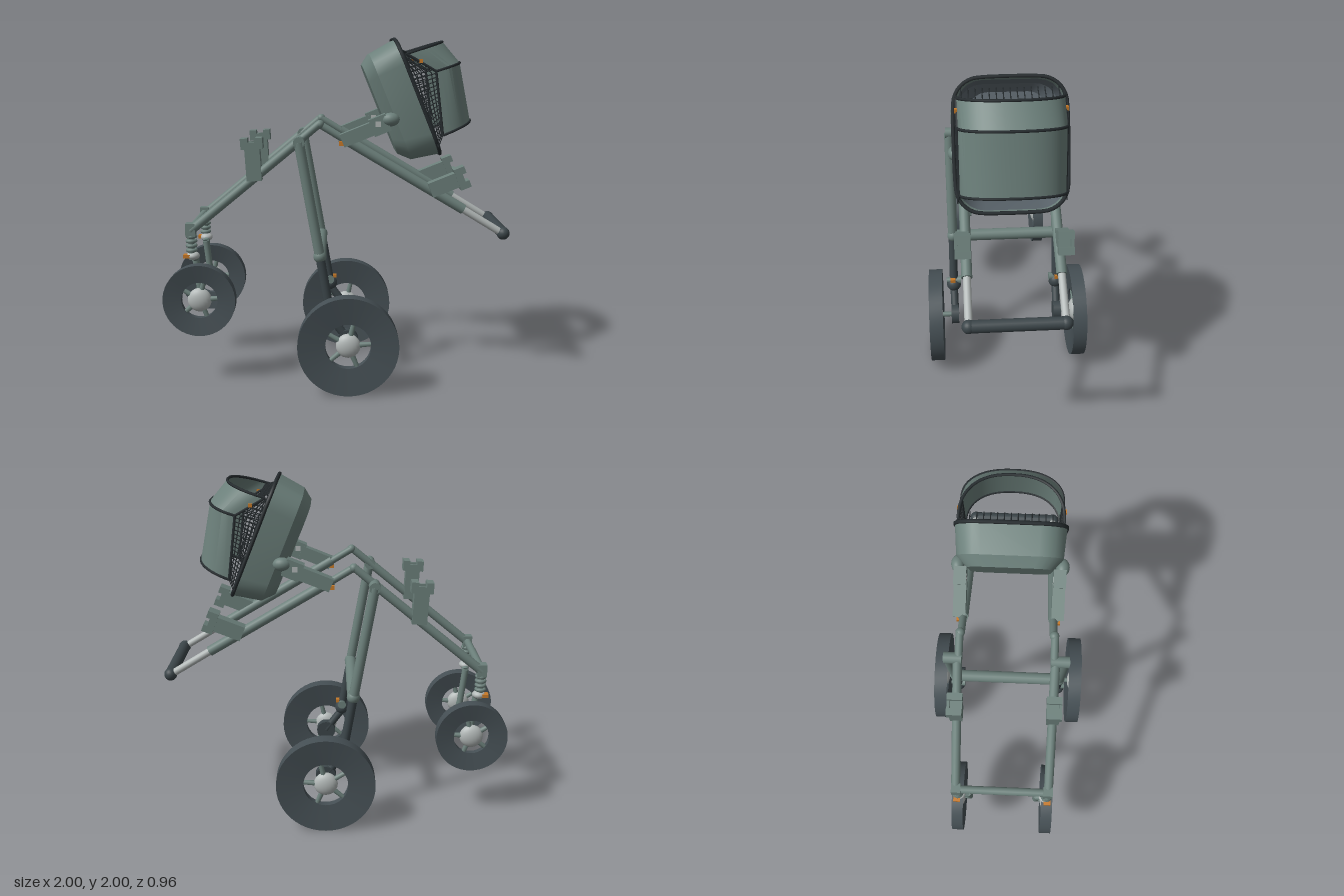
import * as THREE from 'three';
import { toCreasedNormals } from 'three/addons/utils/BufferGeometryUtils.js';

const mat = (name, color, extra = {}) => {
  const m = new THREE.MeshStandardMaterial({ color, ...extra });
  m.name = name;
  return m;
};
const V = (x, y, z) => new THREE.Vector3(x, y, z);

export function createModel() {
  const model = new THREE.Group();
  model.name = 'stroller';
  const green = mat('greyGreen', 0x6c807b);
  const shell = mat('greyGreenShell', 0x6c807b, { side: THREE.DoubleSide });
  const tyreMat = mat('tyreSlate', 0x454f54);
  const dark = mat('darkSlate', 0x3b4549);
  const trim = mat('trimBlack', 0x272d30);
  const light = mat('lightMetal', 0xb2b8b7);
  const orange = mat('orangeAccent', 0xc87a28);
  const lining = mat('lining', 0x5a646b, { side: THREE.DoubleSide });

  const add = (parent, name, geo, m, pos) => {
    const mesh = new THREE.Mesh(geo, m);
    mesh.name = name;
    if (pos) mesh.position.copy(pos);
    parent.add(mesh);
    return mesh;
  };
  // Straight tube from a to b
  const rod = (parent, name, a, b, r, m, r2 = r, sides = 18) => {
    const mesh = add(parent, name, new THREE.CylinderGeometry(r2, r, a.distanceTo(b), sides), m,
      a.clone().lerp(b, 0.5));
    mesh.quaternion.setFromUnitVectors(V(0, 1, 0), b.clone().sub(a).normalize());
    return mesh;
  };
  const ball = (parent, name, p, r, m) => add(parent, name, new THREE.SphereGeometry(r, 20, 14), m, p);
  const box = (parent, name, x, y, z, m, p) => add(parent, name, new THREE.BoxGeometry(x, y, z), m, p);

  // Surface through equally sized rings of points
  const loft = (rings, closed, cap = false) => {
    const n = rings[0].length, pts = rings.flat(), idx = [];
    for (let j = 0; j < rings.length - 1; j++)
      for (let i = 0; i < (closed ? n : n - 1); i++) {
        const a = j * n + i, b = j * n + (i + 1) % n;
        idx.push(a, a + n, b, b, a + n, b + n);
      }
    if (cap) {
      const k = (rings.length - 1) * n;
      for (let i = 1; i < n - 1; i++) idx.push(k, k + i + 1, k + i);
    }
    const g = new THREE.BufferGeometry().setFromPoints(pts);
    g.setIndex(idx);
    return toCreasedNormals(g, 0.4);
  };

  // Wheel with a dished tyre, spokes and a domed hub
  const wheel = (name, p, R, hole, w) => {
    const g = new THREE.Group();
    g.name = name;
    g.position.copy(p);
    const prof = [[hole, -w * 0.5], [R, -w], [R, w], [hole, w * 0.5], [hole, -w * 0.5]]
      .map(([r, y]) => new THREE.Vector2(r, y));
    add(g, 'tyre', toCreasedNormals(new THREE.LatheGeometry(prof, 48), 0.5), tyreMat).rotation.x = Math.PI / 2;
    ball(g, 'hub', V(0, 0, 0), 0.07, light).scale.z = 0.55;
    for (let i = 0; i < 5; i++) {
      const a = 0.08 + i * Math.PI * 0.4, c = Math.cos(a), s = Math.sin(a);
      rod(g, 'spoke', V(c * 0.05, s * 0.05, 0), V(c * (hole + 0.01), s * (hole + 0.01), 0), 0.016, green, 0.013, 8);
    }
    model.add(g);
  };

  // Square socket, growing along the direction of its tilt
  const socket = (name, p, tilt, length, width, flange) => {
    const g = new THREE.Group();
    g.name = name;
    g.position.copy(p);
    g.rotation.z = tilt;
    box(g, 'socketBody', width, length, 0.07, green, V(0, length / 2, 0));
    if (flange) {
      const s = new THREE.Shape([[-1, -1], [1, -1], [1, 1], [-1, 1]].map(([x, y]) => new THREE.Vector2(x * 0.062, y * 0.042)));
      s.holes.push(new THREE.Path([[-1, -1], [-1, 1], [1, 1], [1, -1]].map(([x, y]) => new THREE.Vector2(x * 0.038, y * 0.026))));
      const f = add(g, 'socketFlange', new THREE.ExtrudeGeometry(s, { depth: 0.04, bevelEnabled: false }), green, V(0, length, 0));
      f.rotation.x = -Math.PI / 2;
      for (const e of [-1, 1]) box(g, 'socketLug', 0.04, 0.025, 0.084, green, V(e * 0.042, length + 0.05, 0));
    }
    model.add(g);
  };

  for (const s of [1, -1]) {
    const z = (v) => s * v;
    // Wheels
    wheel('rearWheel', V(0.07, 0.29, z(0.438)), 0.287, 0.13, 0.041);
    wheel('frontWheel', V(-0.79, 0.51, z(0.268)), 0.21, 0.105, 0.034);

    // Main frame
    rod(model, 'frontTube', V(-0.83, 0.92, z(0.268)), V(-0.21, 1.43, z(0.268)), 0.026, green);
    rod(model, 'frontTubeUpper', V(-0.21, 1.43, z(0.262)), V(-0.09, 1.53, z(0.258)), 0.022, green);
    ball(model, 'apexJoint', V(-0.09, 1.525, z(0.255)), 0.026, green);
    rod(model, 'handleTubeUpper', V(-0.09, 1.525, z(0.25)), V(0.05, 1.44, z(0.25)), 0.021, green);
    rod(model, 'handleTube', V(0.03, 1.455, z(0.25)), V(0.73, 1.04, z(0.25)), 0.029, green);
    rod(model, 'handleExtension', V(0.72, 1.045, z(0.25)), V(0.95, 0.905, z(0.25)), 0.021, light);
    ball(model, 'handleCorner', V(0.962, 0.9, z(0.25)), 0.037, dark);
    box(model, 'foldButton', 0.035, 0.025, 0.045, orange, V(0.035, 1.42, z(0.265)));

    // Rear leg
    rod(model, 'legPivot', V(-0.205, 1.43, z(0.245)), V(-0.205, 1.43, z(0.345)), 0.032, green);
    rod(model, 'rearLeg', V(-0.205, 1.43, z(0.322)), V(-0.09, 0.78, z(0.322)), 0.029, green);
    ball(model, 'legJoint', V(-0.09, 0.78, z(0.318)), 0.038, green);
    rod(model, 'rearLegLower', V(-0.09, 0.78, z(0.322)), V(-0.035, 0.46, z(0.325)), 0.026, dark);
    ball(model, 'suspensionPivot', V(-0.035, 0.45, z(0.325)), 0.045, dark);
    rod(model, 'suspensionBolt', V(-0.035, 0.48, z(0.28)), V(-0.035, 0.48, z(0.37)), 0.026, green, 0.016);
    rod(model, 'swingArm', V(-0.035, 0.43, z(0.325)), V(0.07, 0.29, z(0.322)), 0.024, dark);
    rod(model, 'axleBoss', V(0.07, 0.29, z(0.3)), V(0.07, 0.29, z(0.346)), 0.06, dark);
    rod(model, 'axle', V(0.07, 0.29, z(0.34)), V(0.07, 0.29, z(0.42)), 0.015, green);
    box(model, 'brakeLever', 0.03, 0.02, 0.03, orange, V(-0.01, 0.495, z(0.33)));

    // Front suspension and fork
    box(model, 'forkHead', 0.055, 0.075, 0.055, green, V(-0.83, 0.925, z(0.265)));
    rod(model, 'forkPost', V(-0.828, 0.75, z(0.262)), V(-0.83, 0.91, z(0.262)), 0.018, green);
    for (let i = 0; i < 4; i++)
      add(model, 'springCoil', new THREE.TorusGeometry(0.023, 0.011, 8, 20), green,
        V(-0.828, 0.805 + i * 0.027, z(0.262))).rotation.x = Math.PI / 2;
    ball(model, 'forkCollar', V(-0.822, 0.77, z(0.255)), 0.038, light).scale.y = 0.65;
    box(model, 'swivelLock', 0.04, 0.02, 0.04, orange, V(-0.855, 0.77, z(0.268)));
    rod(model, 'forkShoulder', V(-0.822, 0.765, z(0.262)), V(-0.818, 0.745, z(0.205)), 0.022, green);
    rod(model, 'forkBlade', V(-0.818, 0.755, z(0.205)), V(-0.79, 0.51, z(0.205)), 0.02, green);
    rod(model, 'frontAxle', V(-0.79, 0.51, z(0.19)), V(-0.79, 0.51, z(0.26)), 0.018, green);

    // Seat sockets
    socket('frontSocket', V(-0.458, 1.21, z(0.268)), 0.06, 0.18, 0.085, true);
    socket('rearSocket', V(0.535, 1.155, z(0.268)), -1.187, 0.16, 0.085, true);
    socket('seatSocket', V(0.035, 1.435, z(0.272)), -1.187, 0.2, 0.075, false);
    socket('seatAdapter', V(0.2, 1.505, z(0.275)), -1.187, 0.1, 0.1, false);
    box(model, 'adapterClip', 0.03, 0.03, 0.074, light, V(0.235, 1.53, z(0.275)));
    ball(model, 'seatHub', V(0.305, 1.555, z(0.29)), 0.038, green).scale.x = 1.35;
  }

  // Cross members
  rod(model, 'handleGrip', V(0.962, 0.9, -0.25), V(0.962, 0.9, 0.25), 0.034, dark);
  rod(model, 'legCrossbar', V(-0.09, 0.78, -0.3), V(-0.09, 0.78, 0.3), 0.036, green);
  rod(model, 'frontCrossbar', V(-0.83, 0.925, -0.26), V(-0.83, 0.925, 0.26), 0.023, green);

  // Tilted tub: local x runs down the rim, local y out of the opening
  const tub = new THREE.Group();
  tub.name = 'tub';
  tub.position.set(0.465, 1.672, 0);
  tub.rotation.z = -1.18;
  model.add(tub);
  const ring = (y, cx, hx, hz, r) => {
    const pts = [];
    for (let q = 0; q < 4; q++)
      for (let i = 0; i <= 5; i++) {
        const a = (q + i / 5) * Math.PI / 2;
        const sx = q === 0 || q === 3 ? 1 : -1, sz = q < 2 ? 1 : -1;
        pts.push(V(cx + sx * (hx - r) + r * Math.cos(a), y, sz * (hz - r) + r * Math.sin(a)));
      }
    return pts;
  };
  const tubRings = (d) => [
    ring(0, 0, 0.348 - d, 0.294 - d, 0.14), ring(-0.165 + d / 2, -0.005, 0.322 - d, 0.282 - d, 0.13),
    ring(-0.225 + d, -0.012, 0.272 - d, 0.225 - d, 0.1)];
  add(tub, 'tubShell', loft(tubRings(0), true, true), shell);
  add(tub, 'tubLining', loft(tubRings(0.014), true, true), lining);
  add(tub, 'tubRim', new THREE.TubeGeometry(new THREE.CatmullRomCurve3(ring(0, 0, 0.348, 0.292, 0.14), true), 96, 0.011, 6, true), trim);

  // Hood: three hoops joined by fabric
  const hoop = (x0, y0, x1, y1, hz) => Array.from({ length: 25 }, (_, i) => {
    const a = (i / 24 - 0.5) * Math.PI, k = Math.pow(Math.max(0, Math.cos(a)), 0.85);
    return V(x0 + (x1 - x0) * k, y0 + (y1 - y0) * k, hz * Math.sign(a) * Math.pow(Math.abs(Math.sin(a)), 0.85));
  });
  const hoops = [hoop(0.39, 1.915, 0.615, 1.985, 0.275), hoop(0.555, 1.82, 0.715, 1.868, 0.272), hoop(0.6, 1.465, 0.783, 1.538, 0.272)];
  const hood = new THREE.Group();
  hood.name = 'hood';
  model.add(hood);
  add(hood, 'hoodFabric', loft(hoops, false), shell);
  for (const h of hoops)
    add(hood, 'hoodHoop', new THREE.TubeGeometry(new THREE.CatmullRomCurve3(h), 60, 0.008, 6), trim);

  // Side netting between rim and hood
  const edge = (u) => u < 0.25
    ? V(0.39, 1.915, 0.275).lerp(V(0.555, 1.82, 0.272), u / 0.25)
    : V(0.555, 1.82, 0.272).lerp(V(0.6, 1.465, 0.272), (u - 0.25) / 0.75);
  const net = (u, v, s) => {
    const p = V(0.365, 1.91, 0.284).lerp(V(0.575, 1.4, 0.284), u).lerp(edge(u), v);
    p.z *= s;
    return p;
  };
  for (const s of [1, -1]) {
    for (let i = 0; i <= 22; i++) rod(hood, 'netCross', net(i / 22, 0, s), net(i / 22, 1, s), 0.003, trim, 0.003, 4);
    for (let j = 0; j <= 5; j++)
      for (let i = 0; i < 12; i++)
        rod(hood, 'netLong', net(i / 12, j / 5, s), net((i + 1) / 12, j / 5, s), 0.003, trim, 0.003, 4);
    rod(hood, 'hoodEdge', net(0.25, 1, s), net(1, 1, s), 0.008, trim, 0.008, 6);
    rod(hood, 'hoodEdge', net(0, 1, s), net(0.25, 1, s), 0.008, trim, 0.008, 6);
    box(hood, 'hoodButton', 0.02, 0.02, 0.015, orange, V(0.47, 1.875, s * 0.28));
  }
  // Netting strands along the head end
  for (let i = 0; i <= 14; i++) {
    const z = (i / 14 - 0.5) * 0.5;
    rod(hood, 'netStrand', V(0.345, 1.94, z), V(0.43, 1.915, z), 0.003, trim, 0.003, 4);
  }
  return model;
}
